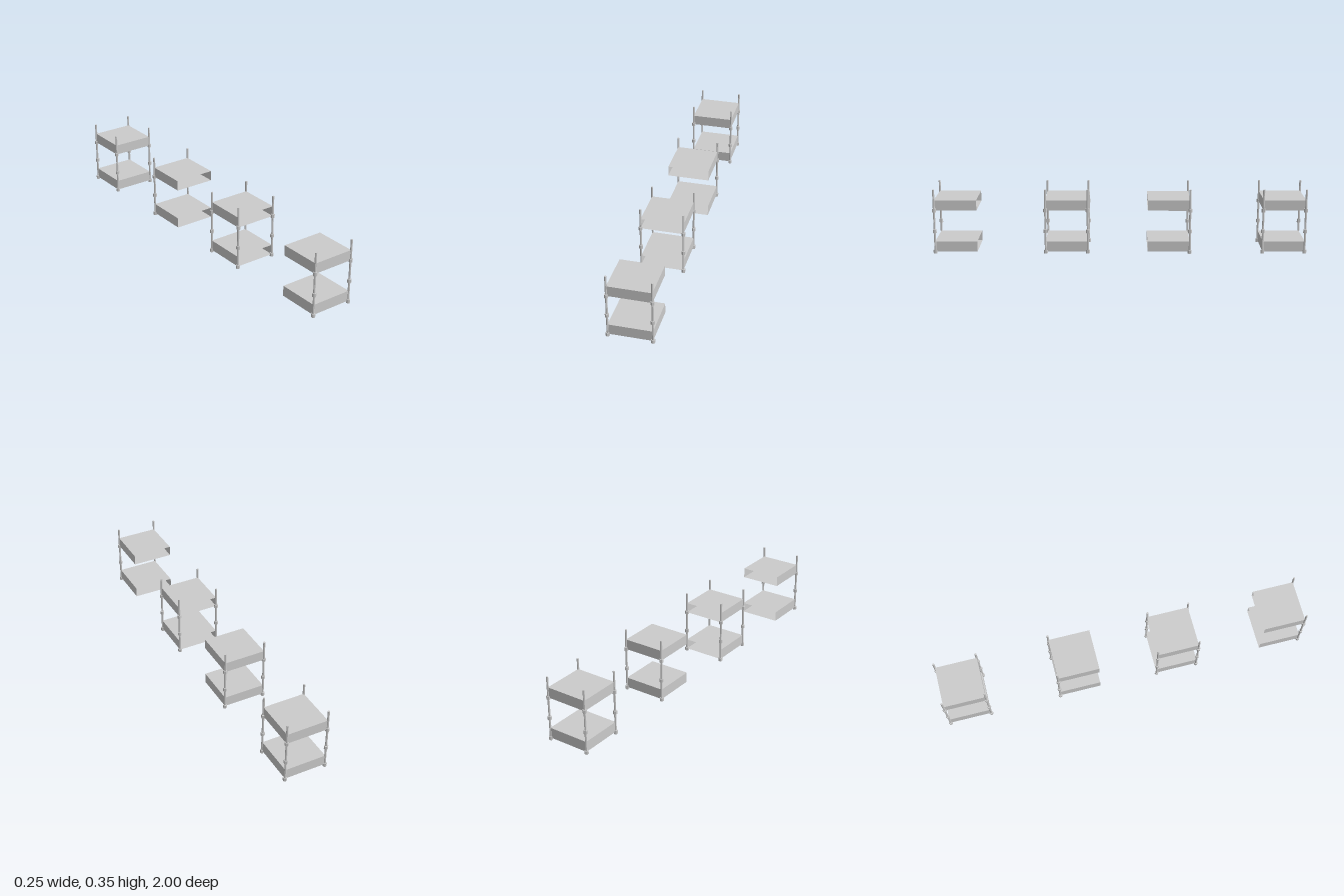
import * as THREE from 'three';

const SIZE = 0.226, HALF = SIZE / 2;
const DECK_HEIGHT = 0.056;
const DECK_LEVELS = [0.01, 0.236];
const JOINT_LEVELS = [0.0095, 0.1225, 0.2365];
const POST_TOP = 0.35;

const metal = new THREE.MeshStandardMaterial({ color: 0xcccccc, flatShading: true });
const sheet = new THREE.MeshStandardMaterial({ color: 0xcccccc, flatShading: true, side: THREE.DoubleSide });

function add(parent, name, geometry, material, x, y, z) {
  const mesh = new THREE.Mesh(geometry, material);
  mesh.name = name;
  mesh.position.set(x, y, z);
  parent.add(mesh);
  return mesh;
}

// Hollow sheet deck; the front and back walls are optional so bays can join up
function createDeck(frontWall, backWall) {
  const deck = new THREE.Group();
  deck.name = 'deck';
  const plate = new THREE.PlaneGeometry(SIZE, SIZE);
  const wall = new THREE.PlaneGeometry(SIZE, DECK_HEIGHT);
  const mid = DECK_HEIGHT / 2;
  add(deck, 'deckTop', plate, sheet, 0, DECK_HEIGHT, 0).rotation.x = -Math.PI / 2;
  add(deck, 'deckBottom', plate, sheet, 0, 0, 0).rotation.x = Math.PI / 2;
  for (const side of [-1, 1]) {
    add(deck, 'deckSide', wall, sheet, side * HALF, mid, 0).rotation.y = side * Math.PI / 2;
  }
  if (frontWall) add(deck, 'deckFront', wall, sheet, 0, mid, HALF);
  if (backWall) add(deck, 'deckBack', wall, sheet, 0, mid, -HALF).rotation.y = Math.PI;
  return deck;
}

// Slim upright with three collar joints
function createPost(x, z) {
  const post = new THREE.Group();
  post.name = 'post';
  post.position.set(x, 0, z);
  const pole = new THREE.CylinderGeometry(0.0055, 0.0055, POST_TOP - 0.004, 6);
  const collar = new THREE.CylinderGeometry(0.0105, 0.0105, 0.019, 6);
  add(post, 'pole', pole, metal, 0, (POST_TOP + 0.004) / 2, 0);
  for (const y of JOINT_LEVELS) add(post, 'joint', collar, metal, 0, y, 0);
  return post;
}

function createBay({ name, x, z, posts, frontWall, backWall }) {
  const bay = new THREE.Group();
  bay.name = name;
  bay.position.set(x, 0, z);
  for (const y of DECK_LEVELS) {
    const deck = createDeck(frontWall, backWall);
    deck.position.y = y;
    bay.add(deck);
  }
  for (const end of posts) {
    for (const side of [-1, 1]) bay.add(createPost(side * HALF, end * HALF));
  }
  return bay;
}

export function createModel() {
  const model = new THREE.Group();
  model.name = 'scaffoldBays';
  const bays = [
    { name: 'frontEndBay', x: -0.002, z: 0.877, posts: [1], frontWall: true, backWall: false },
    { name: 'middleBay', x: -0.002, z: 0.285, posts: [1, -1], frontWall: false, backWall: false },
    { name: 'backEndBay', x: 0.002, z: -0.261, posts: [-1], frontWall: false, backWall: true },
    { name: 'singleBay', x: -0.002, z: -0.877, posts: [1, -1], frontWall: true, backWall: true },
  ];
  for (const bay of bays) model.add(createBay(bay));
  return model;
}
